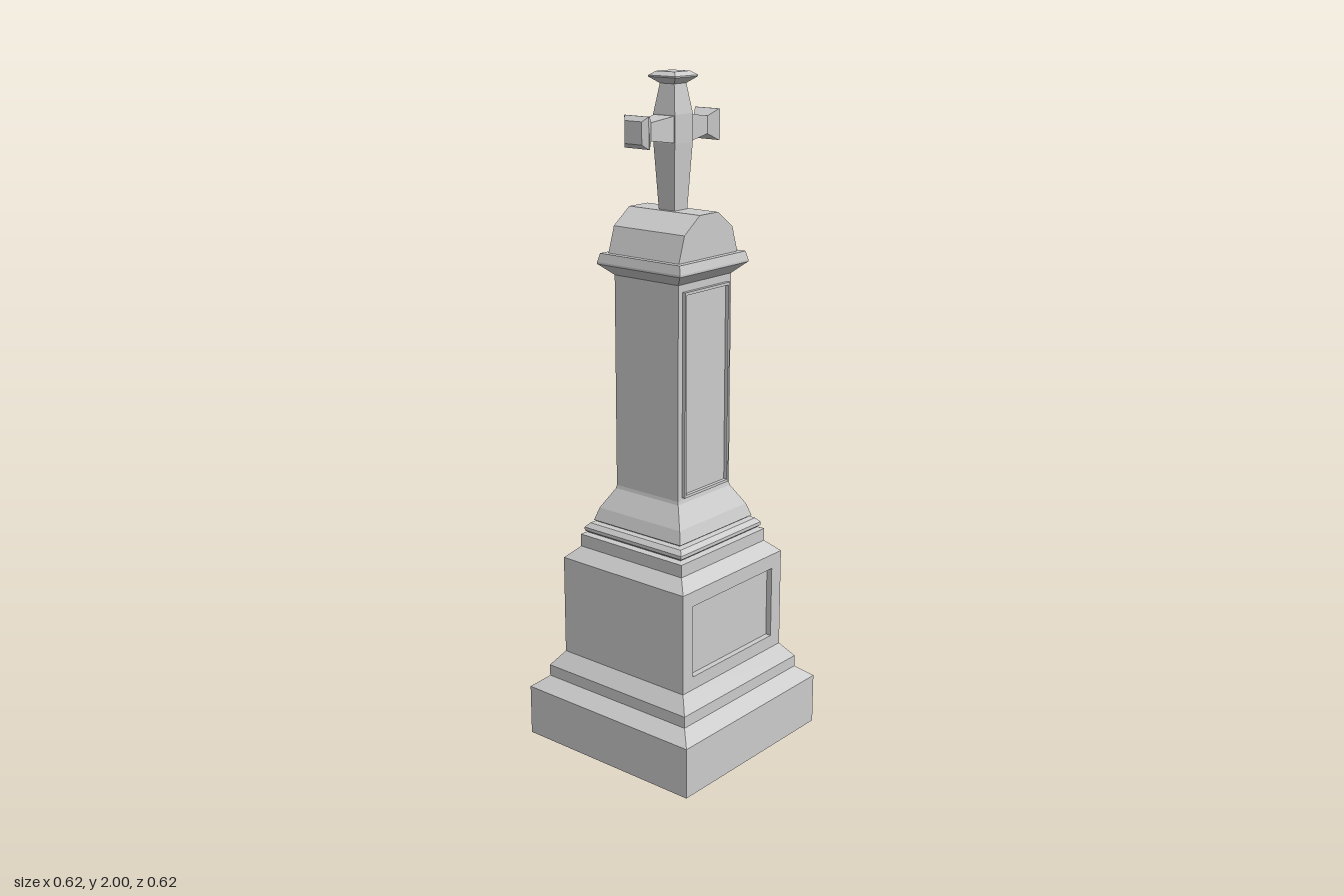
import * as THREE from 'three';

const stone = new THREE.MeshStandardMaterial({ color: 0xcccccc, flatShading: true });

function mesh(name, geometry) {
  const m = new THREE.Mesh(geometry, stone);
  m.name = name;
  return m;
}

// Square solid from [halfWidth, height] steps, closed at both ends
function squareStack(steps) {
  const pts = steps.map(([h, y]) => new THREE.Vector2(h * Math.SQRT2, y));
  pts.unshift(new THREE.Vector2(0, steps[0][1]));
  pts.push(new THREE.Vector2(0, steps[steps.length - 1][1]));
  return new THREE.LatheGeometry(pts, 4, Math.PI / 4);
}

function rectPoints(halfW, y0, y1) {
  return [[-halfW, y0], [halfW, y0], [halfW, y1], [-halfW, y1]].map(([x, y]) => new THREE.Vector2(x, y));
}

// Flat rectangular frame: outer and inner are [halfWidth, bottom, top]
function frame(outer, inner, depth) {
  const shape = new THREE.Shape(rectPoints(...outer));
  shape.holes.push(new THREE.Path(rectPoints(...inner)));
  return new THREE.ExtrudeGeometry(shape, { depth, bevelEnabled: false });
}

// The same frame on the front and on the back
function frontAndBack(group, name, geometry, z) {
  for (const side of ['front', 'back']) {
    const holder = new THREE.Group();
    holder.name = side + name;
    const m = mesh(name, geometry);
    m.position.z = z;
    holder.add(m);
    if (side === 'back') holder.rotation.y = Math.PI;
    group.add(holder);
  }
}

export function createModel() {
  const root = new THREE.Group();
  root.name = 'monument';

  // Stepped plinth
  root.add(mesh('plinth', squareStack([
    [0.31, 0], [0.31, 0.155], [0.267, 0.19], [0.267, 0.225], [0.232, 0.27],
  ])));

  // Pedestal block with a sunken panel front and back
  const recess = 0.018;
  const core = mesh('pedestal', new THREE.BoxGeometry(0.464, 0.305, 0.464 - 2 * recess));
  core.position.y = 0.4225;
  root.add(core);
  frontAndBack(root, 'PedestalPanel', frame([0.232, 0.27, 0.575], [0.187, 0.31, 0.53], recess), 0.232 - recess);

  // Moulding above the pedestal
  root.add(mesh('pedestalMoulding', squareStack([
    [0.232, 0.575], [0.195, 0.61], [0.195, 0.648], [0.177, 0.652],
    [0.187, 0.66], [0.187, 0.67], [0.175, 0.683], [0.158, 0.686],
  ])));

  // Shaft with its flared foot and the cornice
  root.add(mesh('shaft', squareStack([
    [0.158, 0.686], [0.167, 0.692], [0.155, 0.73], [0.12, 0.79], [0.118, 0.8], [0.118, 1.432],
  ])));
  frontAndBack(root, 'ShaftTrim', frame([0.1, 0.808, 1.41], [0.093, 0.816, 1.402], 0.012), 0.117);
  root.add(mesh('cornice', squareStack([
    [0.118, 1.432], [0.146, 1.458], [0.153, 1.464], [0.153, 1.47], [0.147, 1.495],
  ])));

  // Faceted barrel roof running front to back
  const half = [[0.13, 1.495], [0.106, 1.57], [0.04, 1.618]];
  const outline = [...half, ...half.slice().reverse().map(([x, y]) => [-x, y])];
  const roofShape = new THREE.Shape(outline.map(([x, y]) => new THREE.Vector2(x, y)));
  const roof = mesh('roof', new THREE.ExtrudeGeometry(roofShape, { depth: 0.26, bevelEnabled: false }));
  roof.position.z = -0.13;
  root.add(roof);

  // Cross: tapered upright and two arms with flared ends
  const cross = new THREE.Group();
  cross.name = 'cross';
  const centreY = 1.845;
  cross.add(mesh('upright', squareStack([
    [0.028, 1.61], [0.039, 1.805], [0.039, 1.885], [0.026, 1.967],
    [0.049, 1.985], [0.049, 1.989], [0.033, 2],
  ])));
  const armGeometry = squareStack([
    [0.038, 0.03], [0.025, 0.122], [0.044, 0.15], [0.044, 0.154], [0.031, 0.168],
  ]);
  for (const side of [1, -1]) {
    const arm = mesh(side > 0 ? 'leftArm' : 'rightArm', armGeometry);
    arm.position.y = centreY;
    arm.rotation.z = -side * Math.PI / 2;
    cross.add(arm);
  }
  root.add(cross);

  return root;
}
